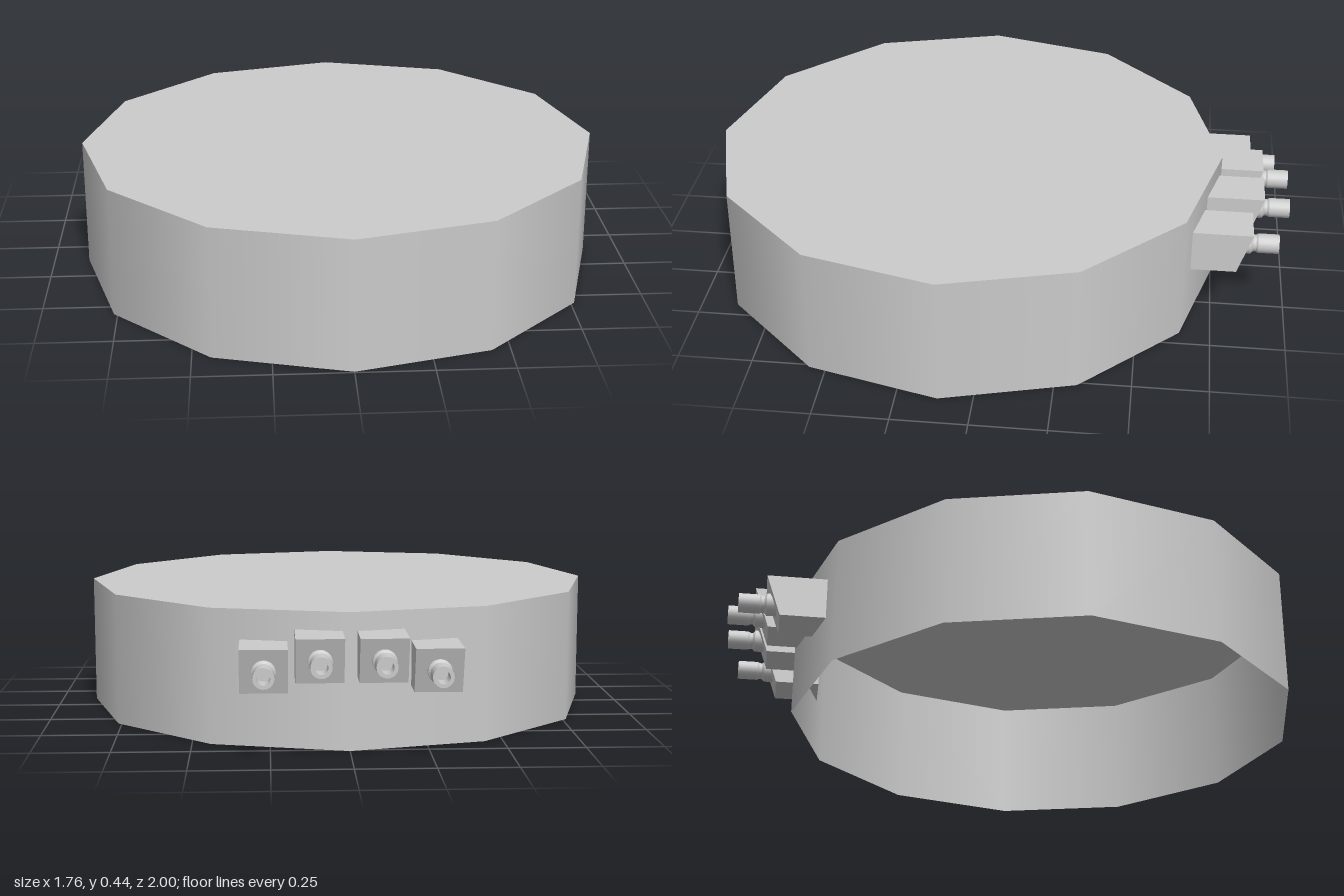
import * as THREE from 'three';

const grey = new THREE.MeshStandardMaterial({ color: 0xcccccc });
const greyDouble = new THREE.MeshStandardMaterial({ color: 0xcccccc, side: THREE.DoubleSide });

function mesh(geometry, name, material = grey) {
  const m = new THREE.Mesh(geometry, material);
  m.name = name;
  return m;
}

// Housing block with a back face that slants outwards towards the top, plus a hollow plug.
// The origin sits at the middle height of the block, on its inner face.
function createConnector(name) {
  const group = new THREE.Group();
  group.name = name;

  const width = 0.15, half = 0.072;
  const side = new THREE.Shape([
    new THREE.Vector2(0, -half),
    new THREE.Vector2(0.153, -half),
    new THREE.Vector2(0.202, half),
    new THREE.Vector2(0, half),
  ]);
  const block = new THREE.ExtrudeGeometry(side, { depth: width, bevelEnabled: false });
  block.translate(0, 0, -width / 2).rotateY(Math.PI / 2);
  group.add(mesh(block, 'connectorBlock'));

  // Flared foot, slim neck, wider barrel and a bored tip
  const profile = [
    [0.038, 0.15], [0.038, 0.198], [0.029, 0.206], [0.029, 0.216],
    [0.033, 0.222], [0.033, 0.292], [0.021, 0.292], [0.021, 0.225], [0, 0.225],
  ];
  // Each profile segment is its own band, so the edges between them stay sharp
  for (let i = 0; i < profile.length - 1; i++) {
    const band = new THREE.LatheGeometry(
      [profile[i], profile[i + 1]].map(([r, h]) => new THREE.Vector2(r, h)), 20);
    band.rotateX(-Math.PI / 2);
    group.add(mesh(band, 'plugBand', greyDouble));
  }
  return group;
}

export function createModel() {
  const model = new THREE.Group();
  model.name = 'drumWithConnectors';

  // Twelve-sided drum: smooth thin wall, flat lid, open underneath
  const radius = 0.88, height = 0.44, centreZ = 0.115;
  const wall = mesh(new THREE.CylinderGeometry(radius, radius, height, 12, 1, true), 'drumWall', greyDouble);
  wall.position.set(0, height / 2, centreZ);
  const lid = mesh(new THREE.CircleGeometry(radius, 12).rotateX(-Math.PI / 2), 'drumLid', greyDouble);
  lid.position.set(0, height, centreZ);
  model.add(wall, lid);

  // Two mirrored pairs of connectors on the back
  for (const [sign, label] of [[1, 'left'], [-1, 'right']]) {
    const inner = createConnector(label + 'InnerConnector');
    inner.position.set(sign * 0.098, 0.308, -0.71);
    const outer = createConnector(label + 'OuterConnector');
    outer.position.set(sign * 0.27, 0.27, -0.672);
    model.add(inner, outer);
  }
  return model;
}
